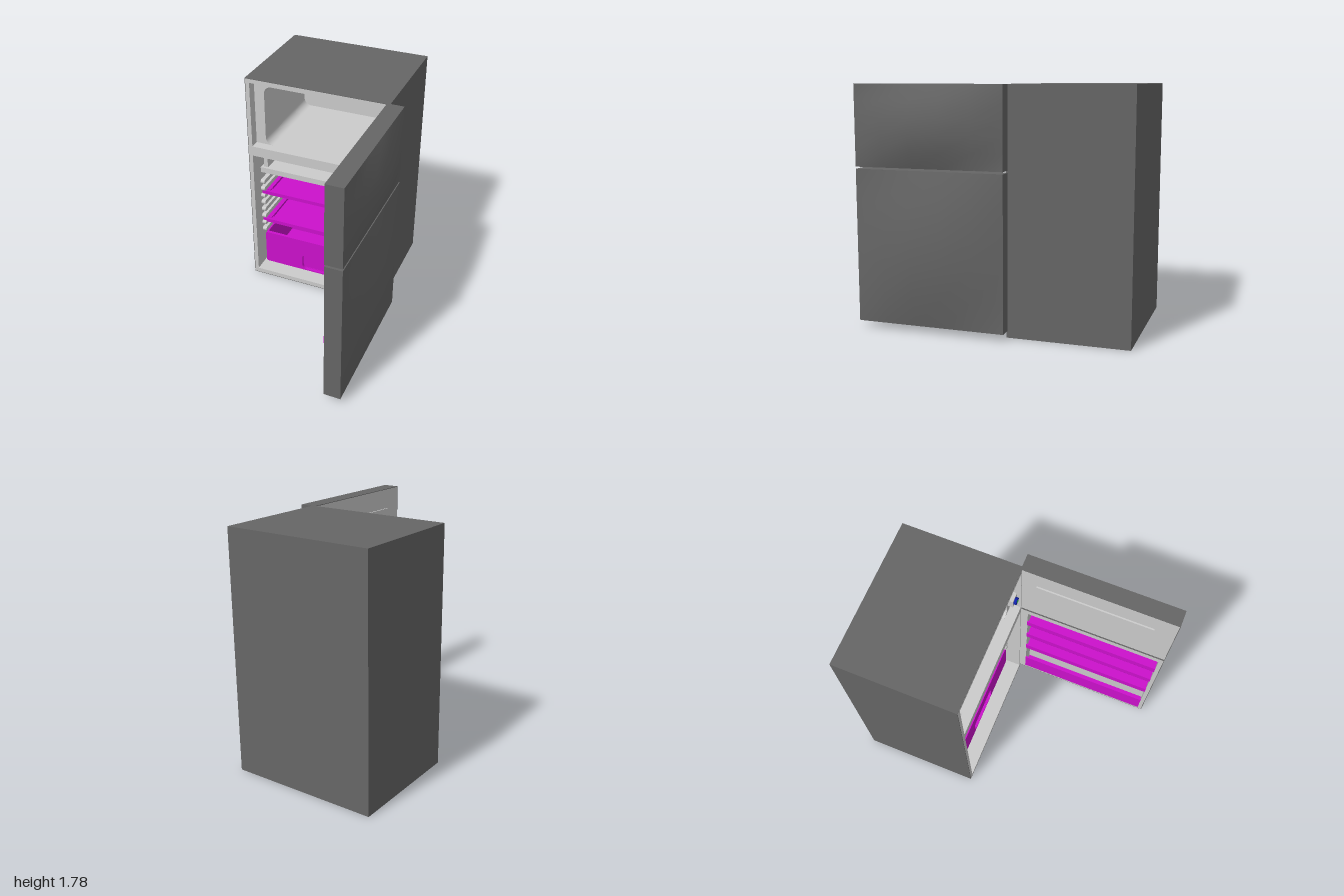
import * as THREE from 'three';

const grey = new THREE.MeshStandardMaterial({ color: 0xcccccc });
const dark = new THREE.MeshStandardMaterial({ color: 0x666666 });
const magenta = new THREE.MeshStandardMaterial({ color: 0xcc11cc });
const blue = new THREE.MeshStandardMaterial({ color: 0x1122aa });
const green = new THREE.MeshStandardMaterial({ color: 0x22aa33 });

// Cabinet and compartment extents
const X0 = -0.645, X1 = 0.47, TOP = 1.78, BACK = -1, FRONT = -0.11;
const IN0 = -0.61, IN1 = 0.435, MID = (IN0 + IN1) / 2;
const STEP = -0.185, REAR = -0.92, SKIN = 0.004;

function add(parent, name, geometry, material) {
  const mesh = new THREE.Mesh(geometry, material);
  mesh.name = name;
  parent.add(mesh);
  return mesh;
}

// Box given by its limits on each axis
function box(parent, name, [x0, x1], [y0, y1], [z0, z1], material) {
  const g = new THREE.BoxGeometry(x1 - x0, y1 - y0, z1 - z0);
  g.translate((x0 + x1) / 2, (y0 + y1) / 2, (z0 + z1) / 2);
  return add(parent, name, g, material);
}

// Rectangle outline with optional round corners
function rect(x0, x1, y0, y1, r = 0, S = THREE.Shape) {
  const s = new S();
  if (!r) {
    s.moveTo(x0, y0).lineTo(x1, y0).lineTo(x1, y1).lineTo(x0, y1).closePath();
    return s;
  }
  s.absarc(x1 - r, y0 + r, r, -Math.PI / 2, 0);
  s.absarc(x1 - r, y1 - r, r, 0, Math.PI / 2);
  s.absarc(x0 + r, y1 - r, r, Math.PI / 2, Math.PI);
  s.absarc(x0 + r, y0 + r, r, Math.PI, Math.PI * 1.5);
  s.closePath();
  return s;
}
const hole = (...a) => rect(a[0], a[1], a[2], a[3], a[4] || 0, THREE.Path);

function extrudeZ(shape, holes, z0, z1) {
  shape.holes.push(...holes);
  const g = new THREE.ExtrudeGeometry(shape, { depth: z1 - z0, bevelEnabled: false, curveSegments: 8 });
  return g.translate(0, 0, z0);
}
// Extrudes along x; the shape is drawn in (-z, y)
function extrudeX(shape, holes, x0, x1) {
  return extrudeZ(shape, holes, x0, x1).rotateY(Math.PI / 2);
}

function cabinet() {
  const g = new THREE.Group();
  g.name = 'cabinet';
  // Dark outer skin
  add(g, 'outerSkin', extrudeZ(rect(X0, X1, 0, TOP),
    [hole(X0 + SKIN, X1 - SKIN, SKIN, TOP - SKIN)], BACK, FRONT), dark);
  box(g, 'backPanel', [X0, X1], [0, TOP], [BACK, BACK + 0.01], dark);
  // Light liner: front frame, deeper walls, rear wall
  const outline = () => rect(X0 + SKIN, X1 - SKIN, SKIN, TOP - SKIN);
  const fridgeHole = () => hole(IN0, IN1, 0.04, 1.135);
  add(g, 'frontFrame', extrudeZ(outline(), [hole(IN0, IN1, 1.215, 1.745), fridgeHole()], STEP, FRONT), grey);
  add(g, 'innerWalls', extrudeZ(outline(), [hole(-0.53, 0.355, 1.215, 1.70, 0.06), fridgeHole()], REAR, STEP), grey);
  box(g, 'rearLiner', [X0 + SKIN, X1 - SKIN], [SKIN, TOP - SKIN], [REAR - 0.03, REAR], grey);
  box(g, 'compressorHump', [IN0, IN1], [0.04, 0.355], [REAR, -0.74], grey);
  return g;
}

function thermostat() {
  const g = new THREE.Group();
  g.name = 'thermostat';
  box(g, 'thermostatBox', [0.355, 0.432], [1.345, 1.43], [STEP, -0.14], grey);
  [[0.028, 0.02, blue, 'thermostatKnob'], [0.011, 0.024, green, 'knobCentre']].forEach(([r, h, m, n]) => {
    add(g, n, new THREE.CylinderGeometry(r, r, h, 20).rotateX(Math.PI / 2).translate(0.392, 1.388, -0.14 + h / 2), m);
  });
  return g;
}

function interior() {
  const g = new THREE.Group();
  g.name = 'interior';
  // Shelf rails with rounded ends, both sides
  for (let i = 0; i < 8; i++) {
    const y = 0.376 + i * 0.0655;
    for (const x of [IN0, IN1 - 0.034]) {
      add(g, 'shelfRail', extrudeX(rect(0.215, 0.86, y - 0.018, y + 0.018, 0.0175), [], x, x + 0.034), grey);
    }
  }
  // Chiller tray with tapered hangers
  box(g, 'chillerTray', [IN0, IN1], [0.92, 0.965], [-0.88, -0.23], grey);
  for (const side of [-1, 1]) {
    const s = new THREE.Shape();
    s.moveTo(-0.018, 0.965).lineTo(0.018, 0.965).lineTo(0.012, 1.08).lineTo(-0.012, 1.08).closePath();
    const m = add(g, 'trayHanger', extrudeZ(s, [], -0.85, -0.25), grey);
    m.position.x = MID + side * 0.484;
  }
  // Framed shelves
  for (const y of [0.45, 0.72]) {
    const frame = extrudeZ(rect(-0.605, 0.43, 0.23, 0.86), [hole(-0.54, 0.365, 0.28, 0.81)], 0, 0.03);
    add(g, 'shelfFrame', frame.rotateX(-Math.PI / 2).translate(0, y, 0), magenta);
    box(g, 'shelfPanel', [-0.54, 0.365], [y + 0.005, y + 0.018], [-0.81, -0.28], magenta);
    for (const side of [-1, 1]) {
      const x = MID + side * 0.467;
      box(g, 'shelfRidge', [x - 0.015, x + 0.015], [y + 0.03, y + 0.038], [-0.84, -0.25], magenta);
    }
  }
  return g;
}

function drawer() {
  const g = new THREE.Group();
  g.name = 'drawer';
  const x = [-0.59, 0.42], y = [0.045, 0.34], z = [-0.73, -0.23];
  // Front with a handle recess
  add(g, 'drawerFront', extrudeZ(rect(...x, ...y, 0.015),
    [hole(-0.26, 0.085, 0.056, 0.2, 0.04)], z[1] - 0.025, z[1]), magenta);
  box(g, 'handleRecess', [-0.28, 0.105], [0.05, 0.22], [z[1] - 0.035, z[1] - 0.025], magenta);
  box(g, 'drawerBack', x, y, [z[0], z[0] + 0.015], magenta);
  box(g, 'drawerSide', [x[0], x[0] + 0.015], y, [z[0], z[1] - 0.02], magenta);
  box(g, 'drawerSide', [x[1] - 0.015, x[1]], y, [z[0], z[1] - 0.02], magenta);
  box(g, 'drawerFloor', x, [y[0], y[0] + 0.015], [z[0], z[1] - 0.02], magenta);
  return g;
}

// Open door: dark rim and bulging outer face, light inner liner
function door(name, y0, y1, recess) {
  const g = new THREE.Group();
  g.name = name;
  const a = -1, b = 0.12, inner = 0.445, outer = 0.57, floor = 0.535;
  add(g, 'doorRim', extrudeX(rect(a, b, y0, y1), [hole(a + SKIN, b - SKIN, y0 + SKIN, y1 - SKIN)], inner, outer), dark);
  add(g, 'doorLiner', extrudeX(rect(a + SKIN, b - SKIN, y0 + SKIN, y1 - SKIN),
    recess ? [hole(...recess)] : [], inner, floor), grey);
  box(g, 'linerFloor', [floor, floor + 0.01], [y0 + SKIN, y1 - SKIN], [-b + SKIN, -a - SKIN], grey);
  const h = y1 - y0, w = b - a;
  const skin = new THREE.PlaneGeometry(w, h, 5, 5);
  const p = skin.attributes.position;
  for (let i = 0; i < p.count; i++) {
    const u = p.getX(i) * 2 / w, v = p.getY(i) * 2 / h;
    p.setZ(i, 0.07 * (1 - u * u) * (1 - v * v) / (0.96 * 0.96));
  }
  skin.computeVertexNormals();
  add(g, 'doorOuterFace', skin.rotateY(Math.PI / 2).translate(outer, (y0 + y1) / 2, -(a + b) / 2), dark);
  return g;
}

// J-shaped door bin running along z
function doorBin(y0, y1) {
  const t = 0.012, s = new THREE.Shape();
  s.moveTo(0.43, y1).lineTo(0.43, y0 + 0.03).quadraticCurveTo(0.432, y0 + 0.012, 0.455, y0);
  s.lineTo(0.535, y0).lineTo(0.535, y0 + t).lineTo(0.458, y0 + t);
  s.quadraticCurveTo(0.443, y0 + 0.02, 0.43 + t, y0 + 0.034).lineTo(0.43 + t, y1).closePath();
  return extrudeZ(s, [], -0.055, 0.965);
}

export function createModel() {
  const model = new THREE.Group();
  model.name = 'refrigerator';
  const freezerDoor = door('freezerDoor', 1.19, TOP, null);
  box(freezerDoor, 'freezerDoorRack', [0.434, 0.446], [1.53, 1.62], [0, 0.85], grey);
  const fridgeDoor = door('fridgeDoor', 0.05, 1.175, [-0.966, 0.056, 0.075, 1.12]);
  [[0.085, 0.29], [0.47, 0.56], [0.705, 0.79], [0.925, 1.01]].forEach(([y0, y1]) =>
    add(fridgeDoor, 'doorBin', doorBin(y0, y1), magenta));
  model.add(cabinet(), thermostat(), interior(), drawer(), freezerDoor, fridgeDoor);
  return model;
}
